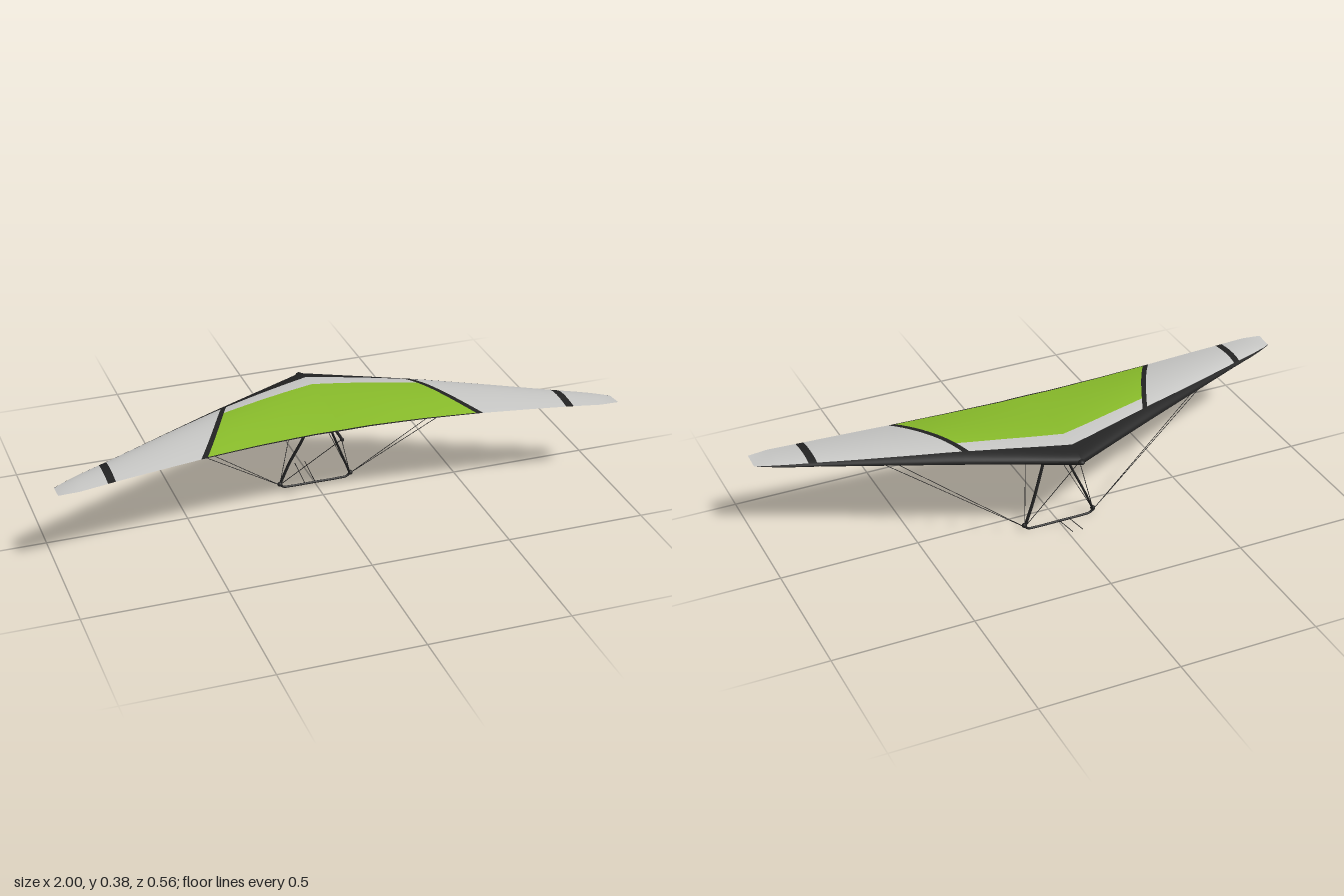
import * as THREE from 'three';

const black = new THREE.MeshStandardMaterial({ color: 0x222222 });
black.name = 'black';
const green = new THREE.MeshStandardMaterial({ color: 0x88bb2a });
green.name = 'lime green';
const grey = new THREE.MeshStandardMaterial({ color: 0xc6c6c4 });
grey.name = 'light grey';

const V = (x, y, z) => new THREE.Vector3(x, y, z);
const lerp = THREE.MathUtils.lerp;

// Linear lookup in a short list of [x, value] stations
function station(list) {
  return (x) => {
    let i = 1;
    while (i < list.length - 1 && x > list[i][0]) i++;
    const [x0, a] = list[i - 1], [x1, b] = list[i];
    return lerp(a, b, (x - x0) / (x1 - x0));
  };
}

// Wing plan, edge heights and thickness along the half span
const leadZ = station([[0, -0.268], [0.8, 0.109], [0.9, 0.153], [0.97, 0.188], [1, 0.207]]);
const trailZ = station([[0, 0.203], [0.1, 0.201], [0.3, 0.21], [0.5, 0.226], [0.8, 0.26], [0.93, 0.277], [1, 0.273]]);
const leadY = (x) => 0.35 - 0.022 * x;
const trailY = (x) => 0.36 - 0.026 * x * x;
const camber = station([[0, 0.029], [0.2, 0.033], [0.38, 0.034], [0.6, 0.025], [0.8, 0.015], [0.93, 0.008], [1, 0]]);
const belly = station([[0, 0.029], [0.15, 0.02], [0.35, 0.011], [0.6, 0.008], [0.9, 0.005], [1, 0]]);

// Point on the sail at half span x and chord fraction u
function sailPoint(x, u, upper) {
  const bulge = upper
    ? camber(x) * 2.6 * Math.sqrt(u) * (1 - u)
    : -belly(x) * 4.16 * Math.sqrt(u) * (1 - u) ** 3;
  return V(x, lerp(leadY(x), trailY(x), u) + bulge, lerp(leadZ(x), trailZ(x), u));
}

// Sail panel between two span lines x(u) and two chord lines u(x)
function panel(xa, xb, ua, ub, upper, side) {
  const n = 20, m = 14, pos = [], index = [];
  for (let i = 0; i <= n; i++) {
    for (let j = 0; j <= m; j++) {
      let x = xa(0.5), u = 0;
      for (let k = 0; k < 8; k++) {
        // denser rows near the leading edge
        u = lerp(ua(x), ub(x), (j / m) ** 1.5);
        x = lerp(xa(u), xb(u), i / n);
      }
      const p = sailPoint(x, u, upper);
      pos.push(p.x * side, p.y, p.z);
      if (i < n && j < m) {
        const a = i * (m + 1) + j, b = a + m + 1;
        if (upper === side > 0) index.push(a, a + 1, b, b, a + 1, b + 1);
        else index.push(a, b, a + 1, b, b + 1, a + 1);
      }
    }
  }
  const g = new THREE.BufferGeometry();
  g.setAttribute('position', new THREE.Float32BufferAttribute(pos, 3));
  g.setIndex(index);
  g.computeVertexNormals();
  return g;
}

export function createModel() {
  const model = new THREE.Group();
  const add = (name, geometry, material, parent = model) => {
    const mesh = new THREE.Mesh(geometry, material);
    mesh.name = name;
    parent.add(mesh);
    return mesh;
  };
  const rod = (name, a, b, r, sides = 6) =>
    add(name, new THREE.TubeGeometry(new THREE.LineCurve3(a, b), 1, r, sides), black);

  // Colour boundaries on the sail
  const at = (v) => () => v;
  const bandEnd = (x) => 0.165 - 0.13 * x;
  const lowBandEnd = (x) => 0.07 - 0.02 * x;
  const greenStart = (x) => 0.31 - 0.14 * x;
  const seamIn = (u) => 0.308 + 0.176 * u;
  const seamOut = (u) => 0.33 + 0.176 * u;

  const panels = [
    // upper surface
    ['leadingEdgeBand', at(0), at(1), at(0), bandEnd, true, black],
    ['innerBorder', at(0), seamIn, bandEnd, greenStart, true, grey],
    ['centrePanel', at(0), seamIn, greenStart, at(0.985), true, green],
    ['trailingTape', at(0), seamIn, at(0.985), at(1), true, black],
    ['seamStripe', seamIn, seamOut, bandEnd, at(1), true, black],
    ['outerPanel', seamOut, at(0.805), bandEnd, at(1), true, grey],
    ['tipStripe', at(0.805), at(0.832), bandEnd, at(1), true, black],
    ['tipPanel', at(0.832), at(1), bandEnd, at(1), true, grey],
    // lower surface
    ['lowerLeadingEdge', at(0), at(0.85), at(0), lowBandEnd, false, black],
    ['lowerCentrePanel', at(0), seamIn, lowBandEnd, at(1), false, green],
    ['lowerSeamStripe', seamIn, seamOut, lowBandEnd, at(1), false, black],
    ['lowerOuterPanel', seamOut, at(0.85), lowBandEnd, at(1), false, grey],
    ['lowerTip', at(0.85), at(1), at(0), at(1), false, black],
  ];
  for (const side of [1, -1]) {
    const wing = new THREE.Group();
    wing.name = side > 0 ? 'leftWing' : 'rightWing';
    model.add(wing);
    for (const [name, xa, xb, ua, ub, upper, mat] of panels)
      add(name, panel(xa, xb, ua, ub, upper, side), mat, wing);
  }

  // Keel tube and nose cap
  rod('keel', V(0, 0.346, -0.262), V(0, 0.322, 0.205), 0.005, 10);
  add('noseCap', new THREE.SphereGeometry(1, 16, 10), black).position.set(0, 0.35, -0.265);
  model.children.at(-1).scale.set(0.012, 0.009, 0.014);
  add('keelEnd', new THREE.SphereGeometry(0.007, 12, 8), black).position.set(0, 0.322, 0.195);

  for (const side of [1, -1]) {
    const corner = V(side * 0.133, 0.016, -0.09);

    // Curved upright with an oval section
    const path = [[0.006, 0.342, -0.033], [0.058, 0.2, -0.06], [0.1, 0.1, -0.083], [0.133, 0.016, -0.09]];
    const curve = new THREE.CatmullRomCurve3(path.map(([x, y, z]) => V(x * side, y, z / 2)));
    add('upright', new THREE.TubeGeometry(curve, 24, 0.004, 10).scale(1, 1, 2), black);
    add('cornerFitting', new THREE.SphereGeometry(0.009, 12, 8), black)
      .position.set(side * 0.133, 0.021, -0.087);

    // Rigging wires
    rod('frontWire', corner, V(0, 0.343, -0.25), 0.0012);
    rod('rearWire', corner, V(0, 0.32, 0.19), 0.0012);
    rod('sideWire', corner, V(side * 0.6, 0.337, 0.016), 0.0011);
    rod('sideWire', corner, V(side * 0.56, 0.338, -0.003), 0.0011);
  }

  // Base bar with upturned ends
  const bar = [[-0.133, 0.018], [-0.12, 0.007], [-0.09, 0.0045], [0, 0.0045], [0.09, 0.0045], [0.12, 0.007], [0.133, 0.018]];
  const barCurve = new THREE.CatmullRomCurve3(bar.map(([x, y]) => V(x, y, -0.09)));
  add('baseBar', new THREE.TubeGeometry(barCurve, 48, 0.0042, 8), black);

  // Two thin rods reaching forward from the base bar
  for (const x of [-0.038, 0]) rod('forwardRod', V(x, 0.006, -0.09), V(x, 0.028, -0.205), 0.0014);

  return model;
}
